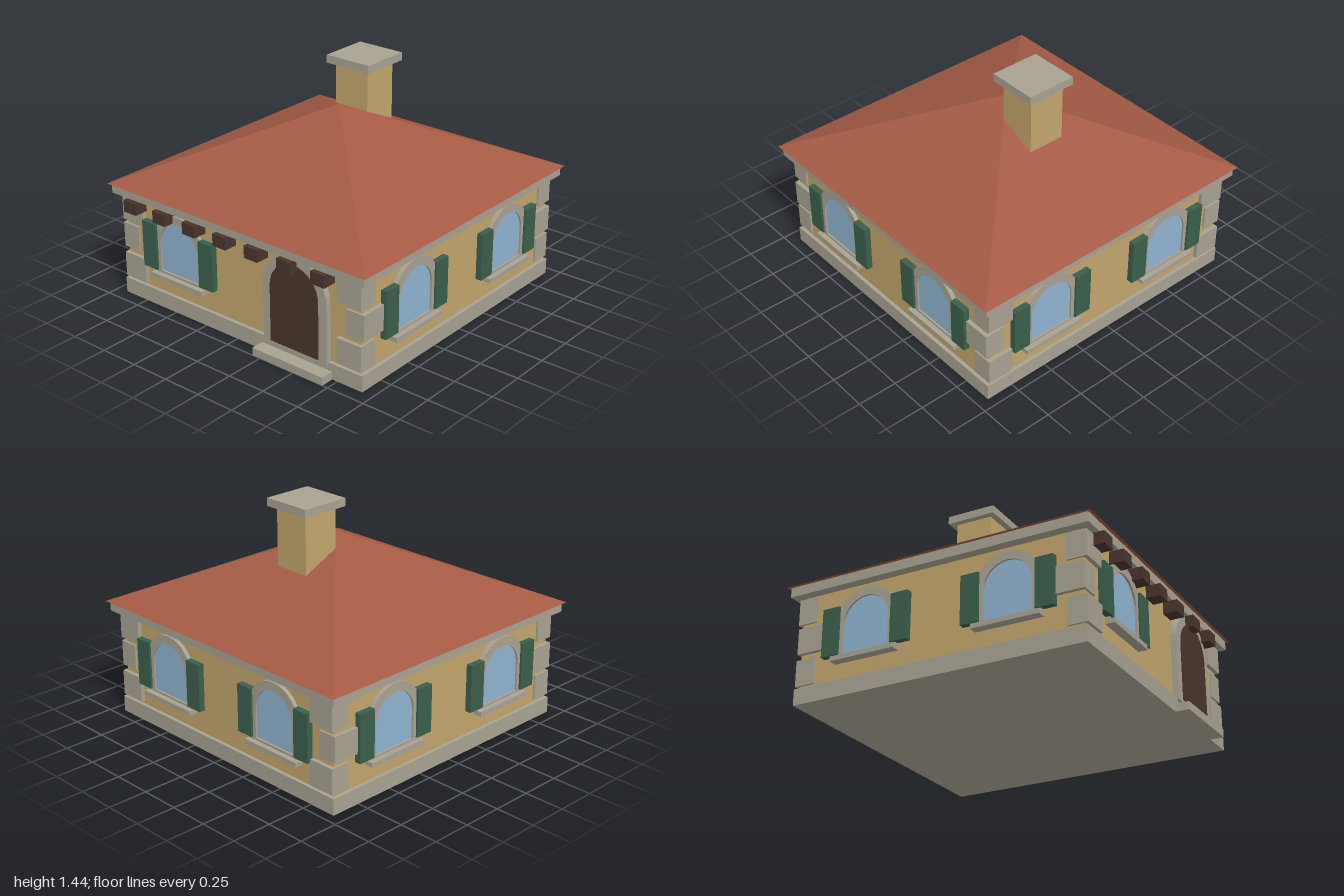
import * as THREE from 'three';

const mat = (name, color, extra = {}) => {
  const m = new THREE.MeshStandardMaterial({ color, ...extra });
  m.name = name;
  return m;
};

export function createModel() {
  const stone = mat('stone', 0xa8a292);
  const plaster = mat('plaster', 0xc2a56c);
  const tile = mat('roofTile', 0xa45a45, { flatShading: true });
  const shutterGreen = mat('shutterGreen', 0x3a5f4c);
  const wood = mat('darkWood', 0x4a342c);
  const pane = mat('glass', 0x90b4d0);

  const model = new THREE.Group();
  model.name = 'house';
  const house = new THREE.Group();
  house.name = 'building';
  house.position.z = -0.0125;
  model.add(house);

  const add = (parent, name, geometry, material) => {
    const mesh = new THREE.Mesh(geometry, material);
    mesh.name = name;
    parent.add(mesh);
    return mesh;
  };
  // Box given by its lower and upper bounds on each axis
  const box = (parent, name, material, [x0, x1], [y0, y1], [z0, z1]) => {
    const mesh = add(parent, name, new THREE.BoxGeometry(x1 - x0, y1 - y0, z1 - z0), material);
    mesh.position.set((x0 + x1) / 2, (y0 + y1) / 2, (z0 + z1) / 2);
    return mesh;
  };
  // Round-headed outline: straight jambs under a half circle
  const arch = (Type, r, bottom, spring) => {
    const s = new Type();
    s.moveTo(-r, bottom);
    s.lineTo(r, bottom);
    s.lineTo(r, spring);
    s.absarc(0, spring, r, 0, Math.PI, false);
    s.closePath();
    return s;
  };
  const extrude = (shape, z0, z1) =>
    new THREE.ExtrudeGeometry(shape, { depth: z1 - z0, bevelEnabled: false, curveSegments: 8 })
      .translate(0, 0, z0);
  const archFrame = (rOuter, rInner, b0, b1, spring, z0, z1) => {
    const s = arch(THREE.Shape, rOuter, b0, spring);
    s.holes.push(arch(THREE.Path, rInner, b1, spring));
    return extrude(s, z0, z1);
  };

  // Main masses
  const W = 0.905;
  box(house, 'plinth', stone, [-0.928, 0.928], [0, 0.1], [-0.928, 0.928]);
  box(house, 'walls', plaster, [-W, W], [0.1, 0.67], [-W, W]);
  box(house, 'eavesBand', stone, [-0.965, 0.965], [0.67, 0.73], [-0.965, 0.965]);
  const roof = add(house, 'roof',
    new THREE.ConeGeometry(0.985 * Math.SQRT2, 0.457, 4).rotateY(Math.PI / 4), tile);
  roof.position.y = 0.73 + 0.457 / 2;

  // Chimney
  box(house, 'chimney', plaster, [-0.12, 0.12], [0.95, 1.39], [-0.358, -0.118]);
  box(house, 'chimneyCap', stone, [-0.16, 0.16], [1.39, 1.44], [-0.398, -0.078]);

  // Corner stones, long side alternating between the two walls
  for (const sx of [-1, 1]) for (const sz of [-1, 1]) {
    [0.118, 0.31, 0.5].forEach((y, i) => {
      const longX = i !== 1;
      const ox = longX ? 0.918 : 0.93, oz = longX ? 0.93 : 0.918;
      const ix = longX ? 0.747 : 0.805, iz = longX ? 0.805 : 0.747;
      const span = (s, a, b) => (s > 0 ? [a, b] : [-b, -a]);
      box(house, 'cornerStone', stone, span(sx, ix, ox), [y, y + 0.16], span(sz, iz, oz));
    });
  }

  // Arched window with sill and shutters
  const addWindow = (facade, x) => {
    const g = new THREE.Group();
    g.name = 'window';
    g.position.x = x;
    facade.add(g);
    add(g, 'windowFrame', archFrame(0.205, 0.15, 0.235, 0.25, 0.435, W - 0.01, 0.93), stone);
    add(g, 'windowGlass', extrude(arch(THREE.Shape, 0.152, 0.248, 0.435), 0.912, 0.918), pane);
    box(g, 'windowSill', stone, [-0.21, 0.21], [0.206, 0.235], [W - 0.01, 0.962]);
    for (const s of [-1, 1]) {
      const c = s * 0.2295;
      box(g, 'shutter', shutterGreen, [c - 0.056, c + 0.056], [0.25, 0.547], [W - 0.005, 0.944]);
    }
  };

  // Four facades, the front one with a door in place of its second window
  ['front', 'left', 'back', 'right'].forEach((name, i) => {
    const facade = new THREE.Group();
    facade.name = name + 'Facade';
    facade.rotation.y = i * Math.PI / 2;
    house.add(facade);
    addWindow(facade, -0.456);
    if (i > 0) addWindow(facade, 0.456);
  });

  // Door with stone surround and step
  const door = new THREE.Group();
  door.name = 'entrance';
  door.position.x = 0.454;
  house.add(door);
  add(door, 'doorSurround', archFrame(0.232, 0.17, 0.082, 0.102, 0.455, W - 0.01, 0.942), stone);
  add(door, 'door', extrude(arch(THREE.Shape, 0.174, 0.102, 0.455), W - 0.005, 0.95), wood);
  box(door, 'doorStep', stone, [-0.26, 0.26], [0, 0.05], [0.9, 1.0125]);

  // Beam ends below the front eaves
  for (let i = -3; i <= 3; i++) {
    const x = -0.061 + i * 0.242;
    box(house, 'beamEnd', wood, [x - 0.05, x + 0.05], [0.593, 0.669], [W - 0.01, 0.995]);
  }

  return model;
}
